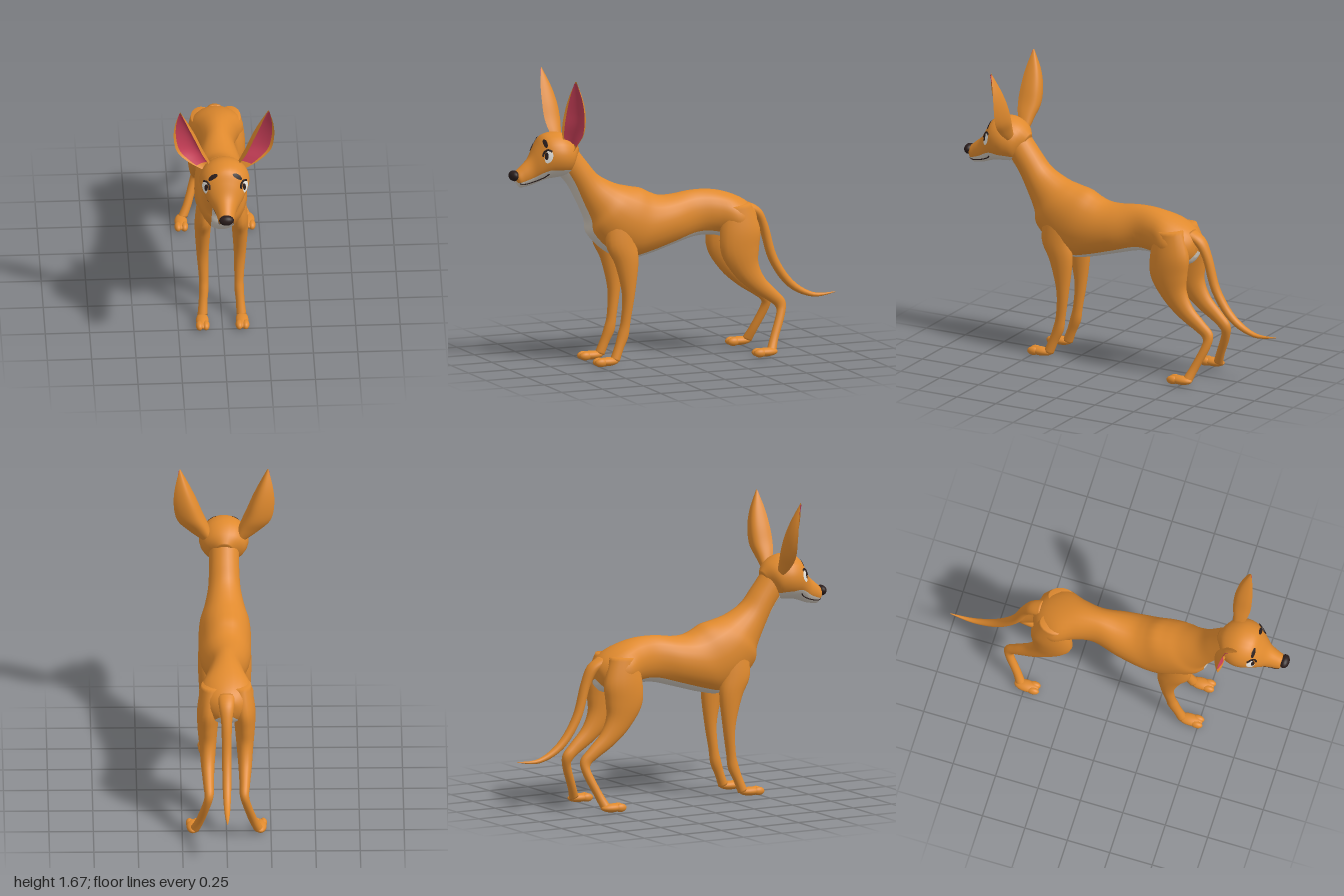
import * as THREE from 'three';

const mat = (name, color) => {
  const m = new THREE.MeshStandardMaterial({ color, side: THREE.DoubleSide });
  m.name = name;
  return m;
};

// Catmull-Rom blend of rows of numbers; u counts in rows
function blend(rows, u) {
  const last = rows.length - 1;
  const i = Math.min(Math.floor(u), last - 1), t = u - i;
  const r = k => rows[Math.max(0, Math.min(last, k))];
  return rows[i].map((_, c) => {
    const [a, b, d, e] = [r(i - 1)[c], r(i)[c], r(i + 1)[c], r(i + 2)[c]];
    return 0.5 * (2 * b + (d - a) * t + (2 * a - 5 * b + 4 * d - e) * t * t + (3 * b - a - 3 * d + e) * t * t * t);
  });
}

// Point on an elliptical section row [cx, cy, cz, hy, hz, w, paintAngle]; phi = 0 is the underside
function onSection([cx, cy, cz, hy, hz, w], phi, lift = 1) {
  const c = Math.cos(phi) * lift, s = Math.sin(phi) * lift;
  return new THREE.Vector3(cx + w * s, cy - hy * c, cz - hz * c);
}

// Skin over section rows; group 0 is the coat, group 1 the painted underside
function loft(rows, sub = 5, under = 8, over = 18) {
  const n = under + over, pos = [], coat = [], belly = [];
  const steps = (rows.length - 1) * sub;
  const sections = [];
  for (let i = 0; i <= steps; i++) sections.push(blend(rows, i / sub));
  const flat = r => [r[0], r[1], r[2], 0, 0, 0, r[6]];
  sections.unshift(flat(sections[0]));
  sections.push(flat(sections[sections.length - 1]));
  for (const s of sections) {
    const a = THREE.MathUtils.degToRad(s[6]);
    for (let j = 0; j < n; j++) {
      const phi = j <= under ? -a + 2 * a * j / under : a + (2 * Math.PI - 2 * a) * (j - under) / over;
      pos.push(...onSection(s, phi).toArray());
    }
  }
  for (let i = 0; i < sections.length - 1; i++) {
    for (let j = 0; j < n; j++) {
      const a = i * n + j, b = i * n + (j + 1) % n;
      (j < under ? belly : coat).push(a, b, b + n, a, b + n, a + n);
    }
  }
  const g = new THREE.BufferGeometry();
  g.setAttribute('position', new THREE.Float32BufferAttribute(pos, 3));
  g.setIndex([...coat, ...belly]);
  g.addGroup(0, coat.length, 0);
  g.addGroup(coat.length, belly.length, 1);
  g.computeVertexNormals();
  return g;
}

// Rows from profile [topZ, topY, bottomZ, bottomY, halfWidth, paintAngle]
const profile = list => list.map(([tz, ty, bz, by, w, a]) =>
  [0, (ty + by) / 2, (tz + bz) / 2, (ty - by) / 2, (tz - bz) / 2, w, a]);

// Rows from a limb path [x, y, z, halfWidth, halfDepth], sections square to the path
const limb = (list, side = 1) => list.map(([x, y, z, w, d], i) => {
  const p = list[Math.max(0, i - 1)], q = list[Math.min(list.length - 1, i + 1)];
  const ty = q[1] - p[1], tz = q[2] - p[2], l = Math.hypot(ty, tz);
  return [x * side, y, z, d * tz / l, -d * ty / l, w, 55];
});

const BODY = profile([
  [-0.50, 0.77, -0.49, 0.70, 0.04, 60],
  [-0.49, 0.82, -0.46, 0.66, 0.09, 50],
  [-0.44, 0.87, -0.40, 0.65, 0.14, 40],
  [-0.35, 0.915, -0.33, 0.66, 0.155, 36],
  [-0.24, 0.945, -0.24, 0.685, 0.115, 40],
  [-0.12, 0.95, -0.13, 0.685, 0.095, 42],
  [0.00, 0.935, 0.02, 0.645, 0.125, 40],
  [0.08, 0.935, 0.18, 0.60, 0.143, 38],
  [0.14, 0.955, 0.30, 0.585, 0.148, 32],
  [0.20, 0.985, 0.42, 0.64, 0.148, 26],
  [0.27, 1.00, 0.52, 0.74, 0.138, 28],
  [0.36, 1.025, 0.535, 0.82, 0.115, 32],
  [0.46, 1.08, 0.58, 0.92, 0.093, 38],
  [0.53, 1.16, 0.64, 1.03, 0.085, 48],
  [0.60, 1.25, 0.70, 1.10, 0.085, 58],
]);

const HEAD = profile([
  [0.58, 1.25, 0.64, 1.12, 0.05, 40],
  [0.62, 1.30, 0.66, 1.10, 0.11, 48],
  [0.68, 1.335, 0.69, 1.09, 0.135, 54],
  [0.74, 1.343, 0.73, 1.085, 0.14, 56],
  [0.80, 1.325, 0.78, 1.08, 0.125, 62],
  [0.84, 1.27, 0.83, 1.065, 0.095, 66],
  [0.88, 1.205, 0.87, 1.05, 0.065, 70],
  [0.93, 1.16, 0.91, 1.042, 0.05, 72],
  [0.965, 1.13, 0.935, 1.04, 0.042, 75],
  [0.975, 1.11, 0.945, 1.05, 0.025, 75],
]);

const FORELEG = [
  [0.09, 0.84, 0.36, 0.04, 0.08], [0.10, 0.70, 0.36, 0.048, 0.09], [0.105, 0.58, 0.325, 0.045, 0.07],
  [0.105, 0.40, 0.315, 0.034, 0.037], [0.10, 0.25, 0.33, 0.027, 0.028], [0.10, 0.17, 0.345, 0.027, 0.032],
  [0.105, 0.10, 0.372, 0.025, 0.027], [0.11, 0.03, 0.40, 0.028, 0.028],
];
const HINDLEG = [
  [0.08, 0.86, -0.36, 0.06, 0.08], [0.10, 0.72, -0.37, 0.063, 0.12], [0.105, 0.60, -0.37, 0.058, 0.115],
  [0.105, 0.49, -0.41, 0.047, 0.078], [0.105, 0.40, -0.48, 0.038, 0.052], [0.102, 0.33, -0.565, 0.03, 0.038],
  [0.10, 0.28, -0.615, 0.026, 0.034], [0.115, 0.22, -0.612, 0.024, 0.025], [0.15, 0.10, -0.56, 0.025, 0.024],
  [0.18, 0.03, -0.53, 0.028, 0.028],
];
const TAIL = [
  [0, 0.83, -0.45, 0.05, 0.03], [0, 0.79, -0.515, 0.042, 0.03], [0, 0.70, -0.56, 0.03, 0.027],
  [0, 0.52, -0.615, 0.027, 0.026], [0, 0.37, -0.72, 0.024, 0.023], [0, 0.295, -0.86, 0.015, 0.013],
  [0, 0.30, -0.998, 0.002, 0.002],
];

// Ear rows: inner rim xyz, outer rim xyz, cup depth
const EAR = [
  [0.06, 1.25, 0.68, 0.12, 1.24, 0.66, 0.03],
  [0.095, 1.33, 0.715, 0.195, 1.295, 0.665, 0.065],
  [0.128, 1.40, 0.73, 0.262, 1.365, 0.66, 0.085],
  [0.16, 1.48, 0.73, 0.283, 1.46, 0.66, 0.078],
  [0.20, 1.57, 0.722, 0.277, 1.56, 0.67, 0.05],
  [0.246, 1.67, 0.70, 0.25, 1.67, 0.695, 0.0],
];

// Cupped sheet between the two rims, inset by margin and lifted towards the opening
function earSheet(side, margin, lift, v0, v1) {
  const g = new THREE.PlaneGeometry(1, 1, 20, 24), p = g.attributes.position;
  for (let i = 0; i < p.count; i++) {
    const s = margin + (1 - 2 * margin) * (p.getX(i) + 0.5);
    const r = blend(EAR, v0 + (v1 - v0) * (p.getY(i) + 0.5));
    const depth = r[6] * Math.pow(Math.max(0, Math.sin(Math.PI * s)), 0.75) - lift;
    const x = r[0] + (r[3] - r[0]) * s - 0.55 * depth;
    p.setXYZ(i, side * x, r[1] + (r[4] - r[1]) * s, r[2] + (r[5] - r[2]) * s - 0.83 * depth);
  }
  if (side < 0) g.index.array.reverse();
  g.computeVertexNormals();
  return g;
}

// Thin oval laid on the head, centred on row u and angle deg
function headPatch(side, u, deg, ru, rdeg, lift) {
  const g = new THREE.RingGeometry(0, 1, 24, 3), p = g.attributes.position;
  for (let i = 0; i < p.count; i++) {
    const phi = THREE.MathUtils.degToRad(deg + rdeg * p.getY(i)) * side;
    const v = onSection(blend(HEAD, u + ru * p.getX(i)), phi, lift);
    p.setXYZ(i, v.x, v.y, v.z);
  }
  if (side > 0) g.index.array.reverse();
  g.computeVertexNormals();
  return g;
}

// Fine line drawn over the head through [row, angle] points
function headLine(side, list, radius) {
  const pts = list.map(([u, deg]) => onSection(blend(HEAD, u), THREE.MathUtils.degToRad(deg) * side, 1.01));
  return new THREE.TubeGeometry(new THREE.CatmullRomCurve3(pts), 24, radius, 6);
}

export function createModel() {
  const coat = mat('orange coat', 0xe08a2e);
  const pale = mat('pale fur', 0xd2cabf);
  const pink = mat('ear pink', 0xc93f58);
  const dark = mat('dark brown', 0x2a1d1c);
  const white = mat('eye white', 0xeeece6);

  const model = new THREE.Group();
  model.name = 'canine';
  const add = (name, geometry, material, parent = model) => {
    const m = new THREE.Mesh(geometry, material);
    m.name = name;
    parent.add(m);
    return m;
  };
  const ball = (name, material, x, y, z, sx, sy, sz, parent) => {
    const m = add(name, new THREE.SphereGeometry(1, 20, 14), material, parent);
    m.position.set(x, y, z);
    m.scale.set(sx, sy, sz);
  };

  add('body', loft(BODY), [coat, pale]);
  add('head', loft(HEAD), [coat, pale]);
  add('tail', loft(limb(TAIL)), [coat, coat]);
  ball('nose', dark, 0, 1.11, 0.972, 0.042, 0.03, 0.028);

  for (const side of [1, -1]) {
    const label = side > 0 ? 'left' : 'right';

    // Legs with two-toed paws
    for (const [kind, path, px, pz] of [['Foreleg', FORELEG, 0.112, 0.45], ['HindLeg', HINDLEG, 0.19, -0.49]]) {
      const leg = new THREE.Group();
      leg.name = label + kind;
      model.add(leg);
      add('leg', loft(limb(path, side), 5, 6, 12), [coat, coat], leg);
      ball('paw', coat, side * px, 0.025, pz, 0.036, 0.025, 0.072, leg);
      for (const t of [-1, 1]) ball('toe', coat, side * px + t * 0.018, 0.024, pz + 0.042, 0.021, 0.024, 0.036, leg);
    }

    // Ears
    add(label + 'Ear', earSheet(side, 0, 0, 0, 5), coat);
    add(label + 'EarLining', earSheet(side, 0.05, 0.006, 0.6, 4.85), pink);

    // Face
    add(label + 'Eye', headPatch(side, 4.3, 105, 0.45, 16, 1.025), white);
    add(label + 'Pupil', headPatch(side, 4.52, 111, 0.2, 10, 1.05), dark);
    add(label + 'Eyelid', headLine(side, [[3.85, 112], [4.2, 122], [4.6, 125], [4.85, 118]], 0.006), dark);
    add(label + 'Brow', headPatch(side, 4.25, 145, 0.2, 15, 1.035), dark);
    add(label + 'Mouth', headLine(side, [[4.2, 52], [4.6, 45], [5.5, 45], [6.5, 50], [7.6, 58], [8.3, 72]], 0.0035), dark);
  }
  return model;
}
